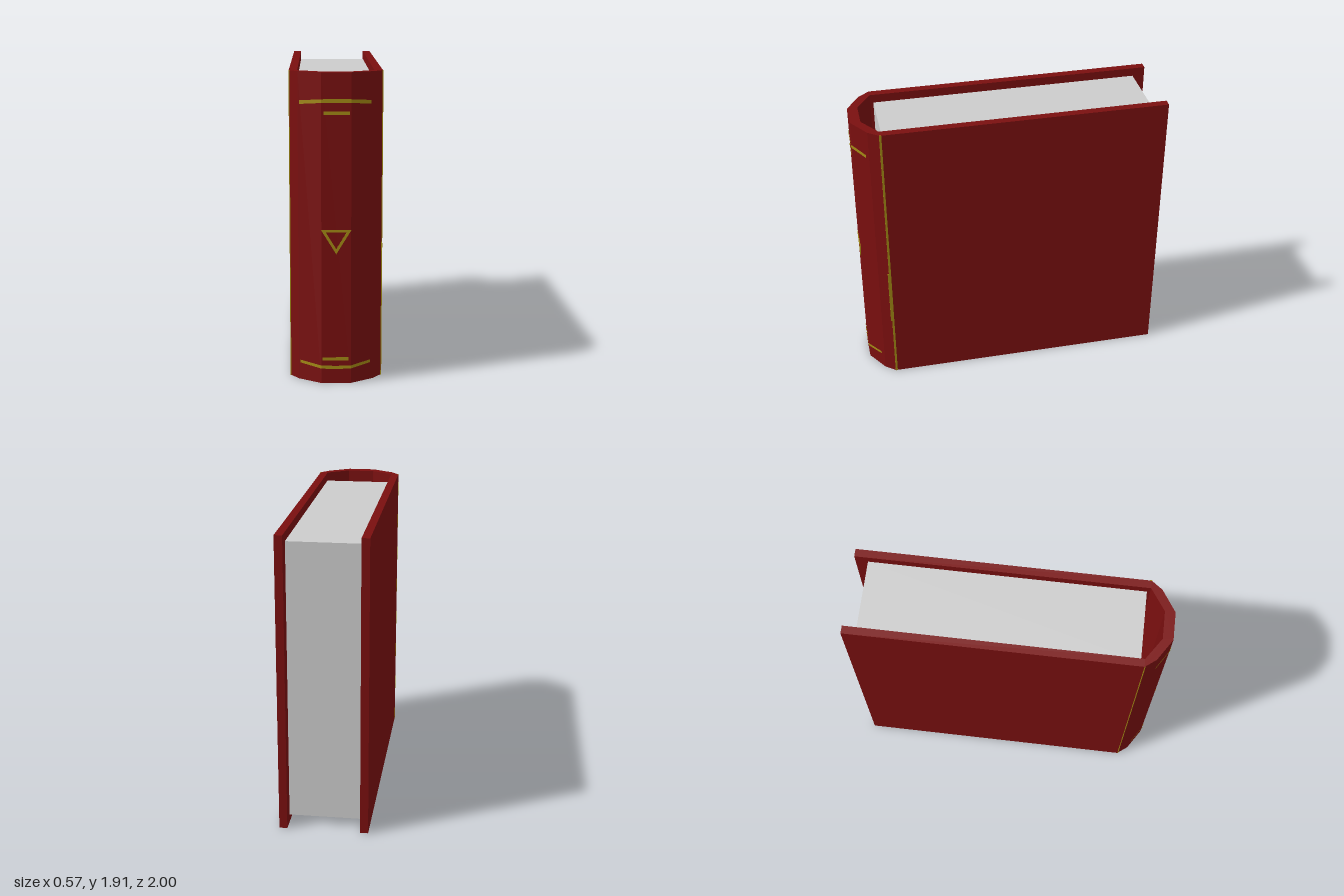
import * as THREE from 'three';

const HEIGHT = 1.91;
// Right half of the cover cross-section as [x, z], from fore edge to spine
const OUTER = [[0.283, -1], [0.283, 0.84], [0.23, 0.91], [0.09, 1]];
const INNER = [[0.232, -1], [0.232, 0.84], [0.09, 0.935]];

// Depth of the faceted spine surface at a given x
function spineZ(x) {
  const a = Math.abs(x);
  for (let i = 3; i > 1; i--) {
    const [x1, z1] = OUTER[i], [x0, z0] = OUTER[i - 1];
    if (a <= x1) return z1;
    if (a <= x0) return z1 + (z0 - z1) * (a - x1) / (x0 - x1);
  }
  return OUTER[1][1];
}

// Thin gilt ribbon laid on the spine; points are [x, y, half height]
function spineRibbon(points) {
  const pos = [], idx = [];
  points.forEach(([x, y, h], i) => {
    const z = spineZ(x) + 0.004;
    pos.push(x, y - h, z, x, y + h, z);
    if (i) {
      const a = 2 * i - 2;
      idx.push(a, a + 2, a + 1, a + 1, a + 2, a + 3);
    }
  });
  const g = new THREE.BufferGeometry();
  g.setAttribute('position', new THREE.Float32BufferAttribute(pos, 3));
  g.setIndex(idx);
  const flat = g.toNonIndexed();
  flat.computeVertexNormals();
  return flat;
}

function triangle(size, PathType) {
  const p = new PathType();
  p.moveTo(-0.092 * size, 0.05 * size);
  p.lineTo(0, -0.1 * size);
  p.lineTo(0.092 * size, 0.05 * size);
  p.closePath();
  return p;
}

export function createModel() {
  const book = new THREE.Group();
  book.name = 'book';
  const leather = new THREE.MeshStandardMaterial({ color: 0x7a0f0f });
  leather.name = 'red leather';
  const paper = new THREE.MeshStandardMaterial({ color: 0xcccccc });
  paper.name = 'paper';
  const gilt = new THREE.MeshStandardMaterial({ color: 0xa38a14, side: THREE.DoubleSide });
  gilt.name = 'gilt';

  const add = (name, geometry, material, x = 0, y = 0, z = 0) => {
    const mesh = new THREE.Mesh(geometry, material);
    mesh.name = name;
    mesh.position.set(x, y, z);
    book.add(mesh);
    return mesh;
  };

  // Cover: both boards and the spine as one U-shaped extrusion
  const mirror = pts => pts.map(([x, z]) => [-x, z]).reverse();
  const outline = [...OUTER, ...mirror(OUTER), ...mirror(INNER).reverse(), ...[...INNER].reverse()];
  const section = new THREE.Shape(outline.map(([x, z]) => new THREE.Vector2(x, -z)));
  const cover = new THREE.ExtrudeGeometry(section, { depth: HEIGHT, bevelEnabled: false });
  cover.rotateX(-Math.PI / 2);
  add('cover', cover, leather);

  // Page block, set in from the edges of the boards
  add('pages', new THREE.BoxGeometry(0.462, 1.8, 1.74), paper, 0, HEIGHT / 2, -0.05);

  // Curved bands and short dashes near both ends of the spine
  add('upperBand', spineRibbon([[-0.22, 1.727, 0.011], [-0.09, 1.741, 0.011], [0, 1.742, 0.012],
    [0.09, 1.741, 0.011], [0.21, 1.729, 0.011]]), gilt);
  add('lowerBand', spineRibbon([[-0.22, 0.116, 0.009], [-0.09, 0.104, 0.01], [0, 0.102, 0.01],
    [0.09, 0.104, 0.01], [0.21, 0.118, 0.009]]), gilt);
  add('upperDash', spineRibbon([[-0.075, 1.67, 0.011], [0.08, 1.67, 0.011]]), gilt);
  add('lowerDash', spineRibbon([[-0.085, 0.157, 0.01], [0.075, 0.157, 0.01]]), gilt);

  // Triangle ornament on the middle of the spine
  const ring = triangle(1, THREE.Shape);
  ring.holes.push(triangle(0.68, THREE.Path));
  add('triangleOrnament', new THREE.ExtrudeGeometry(ring, { depth: 0.005, bevelEnabled: false }),
    gilt, 0, 0.915, 0.998);

  // Hinge lines where the boards meet the spine
  add('leftHingeLine', new THREE.BoxGeometry(0.006, HEIGHT, 0.014), gilt, 0.283, HEIGHT / 2, 0.837);
  add('leftHingeThickening', new THREE.BoxGeometry(0.006, 0.4, 0.02), gilt, 0.283, 0.65, 0.842);
  add('rightHingeLine', new THREE.BoxGeometry(0.006, HEIGHT, 0.006), gilt, -0.281, HEIGHT / 2, 0.843);

  return book;
}
